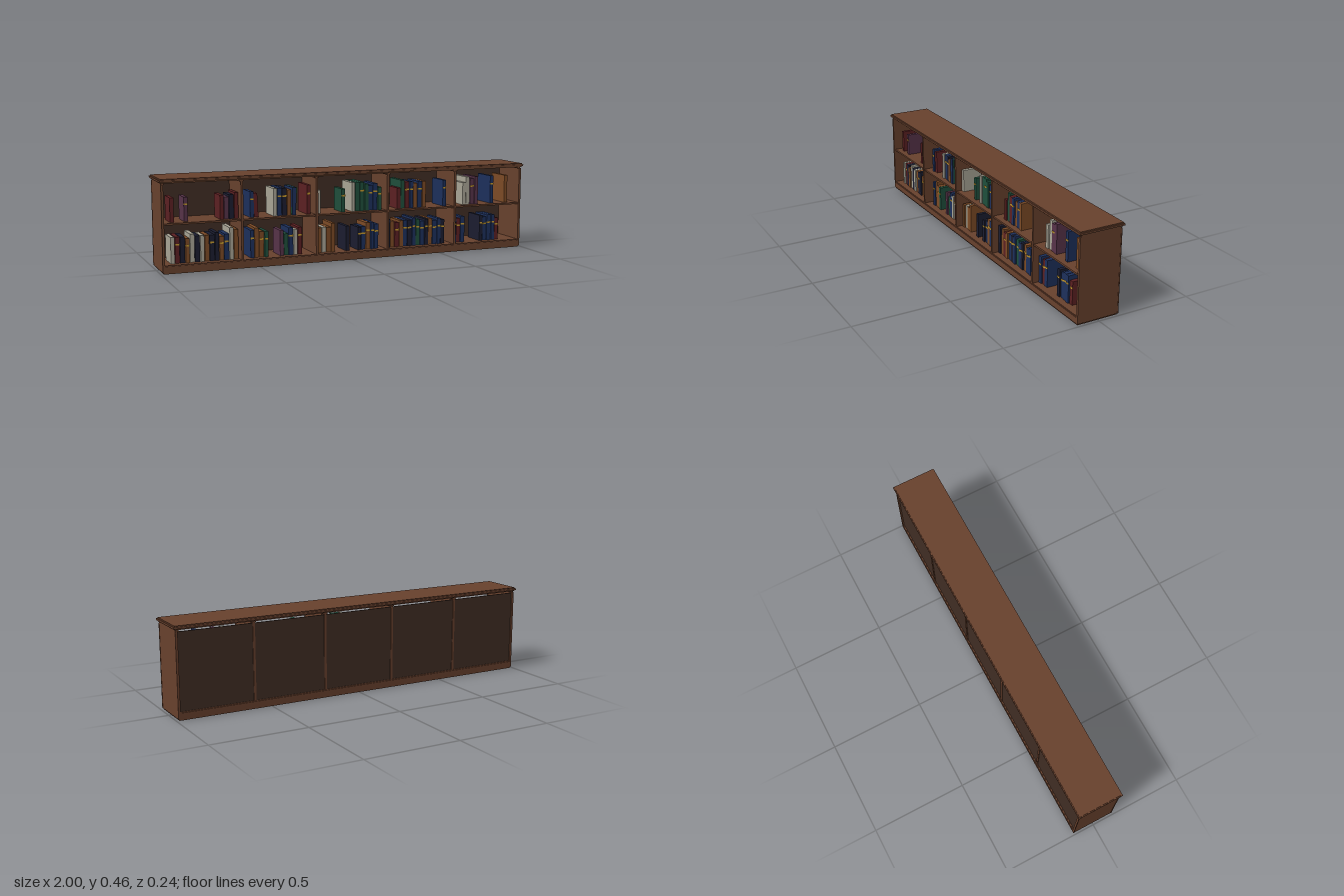
import * as THREE from 'three';

const mat = (name, color) => {
  const m = new THREE.MeshStandardMaterial({ color });
  m.name = name;
  return m;
};

export function createModel() {
  const wood = mat('wood', 0x68412d);
  const darkWood = mat('dark wood', 0x402d24);
  const gold = mat('gold', 0xc79a2e);
  const covers = {
    r: mat('red cover', 0x5c2022),
    p: mat('purple cover', 0x573349),
    n: mat('navy cover', 0x1d305c),
    d: mat('midnight cover', 0x1b1d30),
    g: mat('green cover', 0x1f4f3c),
    w: mat('cream cover', 0xa9a596),
    b: mat('tan cover', 0x7d4b26),
  };

  const model = new THREE.Group();
  model.name = 'lowBookcase';

  // Box given by its limits on each axis
  const box = (parent, name, material, x0, x1, y0, y1, z0, z1) => {
    const mesh = new THREE.Mesh(new THREE.BoxGeometry(x1 - x0, y1 - y0, z1 - z0), material);
    mesh.position.set((x0 + x1) / 2, (y0 + y1) / 2, (z0 + z1) / 2);
    mesh.name = name;
    parent.add(mesh);
    return mesh;
  };

  // Base with front and back boards
  box(model, 'foot', wood, -0.985, 0.985, 0, 0.007, -0.108, 0.108);
  box(model, 'bottomShelf', wood, -0.982, 0.982, 0.007, 0.042, -0.107, 0.107);
  for (const s of [-1, 1]) {
    const z = s * 0.1095;
    box(model, 'baseBoard', wood, -0.982, 0.982, 0.007, 0.038, z - 0.0025, z + 0.0025);
  }

  // End panels with thin edge trims
  for (const s of [-1, 1]) {
    const x = s * 0.9855;
    box(model, 'endPanel', wood, x - 0.0045, x + 0.0045, 0.007, 0.434, -0.107, 0.107);
    for (const t of [-1, 1]) {
      const z = t * 0.1095;
      box(model, 'endTrim', wood, x - 0.006, x + 0.006, 0.007, 0.434, z - 0.0025, z + 0.0025);
    }
  }

  // Dividers, with a small cap above each upright
  const uprights = [-0.985, -0.59, -0.197, 0.197, 0.59, 0.985];
  uprights.forEach((x, i) => {
    if (i > 0 && i < 5) box(model, 'divider', wood, x - 0.006, x + 0.006, 0.042, 0.434, -0.108, 0.108);
    const w = 0.012;
    box(model, 'uprightCap', wood, Math.max(x - w, -0.99), Math.min(x + w, 0.99), 0.434, 0.442, -0.106, 0.106);
  });

  // Back panel and middle shelf of each bay
  for (let i = 0; i < 5; i++) {
    const a = uprights[i] + 0.0045, b = uprights[i + 1] - 0.0045;
    box(model, 'backPanel', darkWood, a, b, 0.042, 0.431, -0.104, -0.098);
    box(model, 'middleShelf', wood, a, b, 0.237, 0.246, -0.098, 0.102);
  }

  // Stepped top: half width, half depth, bottom, top
  for (const [hx, hz, y0, y1] of [
    [0.993, 0.113, 0.441, 0.447],
    [1, 0.12, 0.447, 0.456],
    [0.995, 0.115, 0.456, 0.462],
  ]) box(model, 'topBoard', wood, -hx, hx, y0, y1, -hz, hz);

  // Books: shelf height, first x, cover letters (capital = gold band),
  // heights in hundredths above 0.10, lean of the last book
  const runs = [
    [0.246, -0.933, 'r', '2'], [0.246, -0.864, 'P', '2'],
    [0.246, -0.684, 'rpdr', '2123'],
    [0.246, -0.53, 'Nr', '32', 0.05], [0.246, -0.408, 'wNDbg', '44434', -0.06],
    [0.246, -0.308, 'n', '4'], [0.246, -0.23, 'R', '5'],
    [0.246, -0.176, 'w', '2'], [0.246, -0.04, 'G', '2'],
    [0.246, 0.016, 'wgGgNNG', '5554342'],
    [0.246, 0.274, 'rgRNbNb', '1544344'], [0.246, 0.543, 'N', '4'],
    [0.246, 0.663, 'wwPP', '2545'].map((v, i) => (i === 2 ? 'wwPp' : v)),
    [0.246, 0.832, 'N', '5'], [0.246, 0.92, 'b', '5'],
    [0.042, -0.933, 'wRdBwdwbDdBNwb', '33324333342365'],
    [0.042, -0.53, 'NbBG', '4533'],
    [0.042, -0.375, 'pgNwR', '31434'],
    [0.042, -0.17, 'bwbb', '3335'], [0.042, -0.017, 'd', '3'],
    [0.042, 0.05, 'DNBNN', '22443'],
    [0.042, 0.216, 'dbRbNDNGNDBNND', '54344454344343'],
    [0.042, 0.608, 'NRN', '434'],
    [0.042, 0.77, 'DNNNR', '43442'],
  ];
  const books = new THREE.Group();
  books.name = 'books';
  model.add(books);
  const pitch = 0.0247;
  for (const [y, x0, letters, heights, lean = 0] of runs) {
    [...letters].forEach((c, i) => {
      const book = new THREE.Group();
      book.name = 'book';
      book.position.set(x0 + i * pitch, y, 0);
      if (i === letters.length - 1) book.rotation.z = lean;
      const h = 0.1 + 0.01 * Number(heights[i]);
      const w = 0.0095 + 0.0012 * (i % 3);
      const front = 0.074 - 0.003 * ((i * 2) % 3);
      box(book, 'cover', covers[c.toLowerCase()], -w, w, 0, h, front - 0.9 * h, front);
      if (c !== c.toLowerCase())
        box(book, 'spineBand', gold, -w, w, h * 0.68, h * 0.68 + 0.008, front, front + 0.0015);
      books.add(book);
    });
  }
  return model;
}
